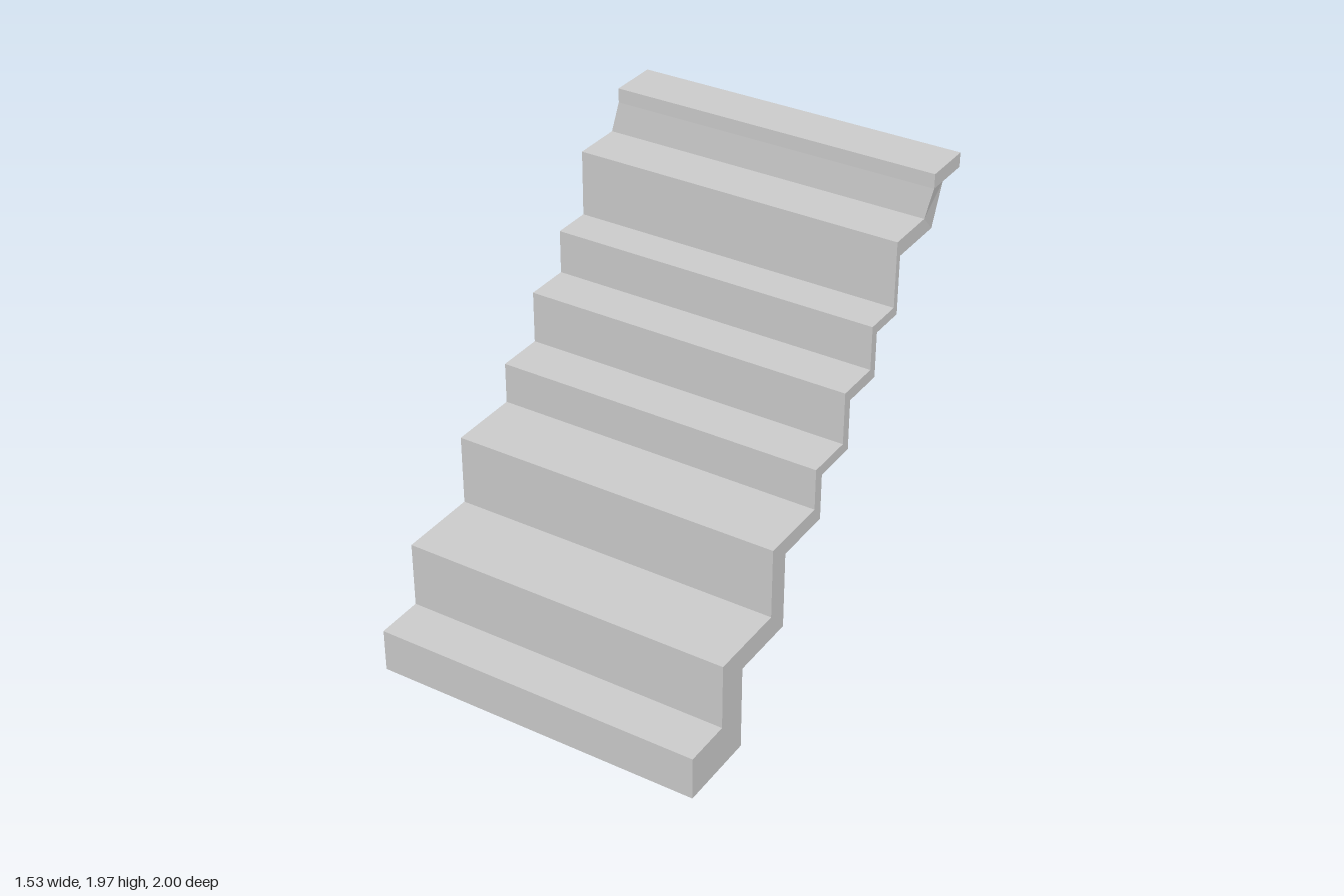
import * as THREE from 'three';

export function createModel() {
  const group = new THREE.Group();
  const material = new THREE.MeshStandardMaterial({ color: 0xcccccc, flatShading: true });

  // Each step: [z of riser, height of tread], from the ground up
  const treads = [[1, 0.2], [0.78, 0.505], [0.41, 0.83], [0.08, 1.02],
    [-0.14, 1.26], [-0.35, 1.46], [-0.53, 1.76]];
  // Underside corners: [z of back riser, height of soffit], from the top down
  const soffits = [[-0.56, 1.685], [-0.39, 1.415], [-0.185, 1.205],
    [0.03, 0.97], [0.31, 0.755], [0.63, 0.395]];

  // Stepped side profile (z, y)
  const profile = [[1, 0]];
  treads.forEach(([z, y], i) => {
    const nextZ = i < treads.length - 1 ? treads[i + 1][0] : -0.762;
    profile.push([z, y], [nextZ, y]);
  });
  // Top landing lip, whose riser leans back slightly
  profile.push([-0.772, 1.9], [-0.772, 1.965], [-1, 1.965], [-1, 1.9], [-0.847, 1.9], [-0.835, 1.685]);
  soffits.forEach(([z, y], i) => {
    const nextY = i < soffits.length - 1 ? soffits[i + 1][1] : 0;
    profile.push([z, y], [z, nextY]);
  });

  const shape = new THREE.Shape(profile.map(([z, y]) => new THREE.Vector2(z, y)));
  const geometry = new THREE.ExtrudeGeometry(shape, { depth: 1.505, bevelEnabled: false });
  geometry.rotateY(-Math.PI / 2).translate(0.735, 0, 0);

  // The landing sits a little to one side, so the last riser is skewed
  const pos = geometry.attributes.position;
  for (let i = 0; i < pos.count; i++) {
    if (pos.getY(i) > 1.8) pos.setX(i, pos.getX(i) + 0.03);
  }
  geometry.computeVertexNormals();

  const stairs = new THREE.Mesh(geometry, material);
  stairs.name = 'staircase';
  group.add(stairs);
  return group;
}
